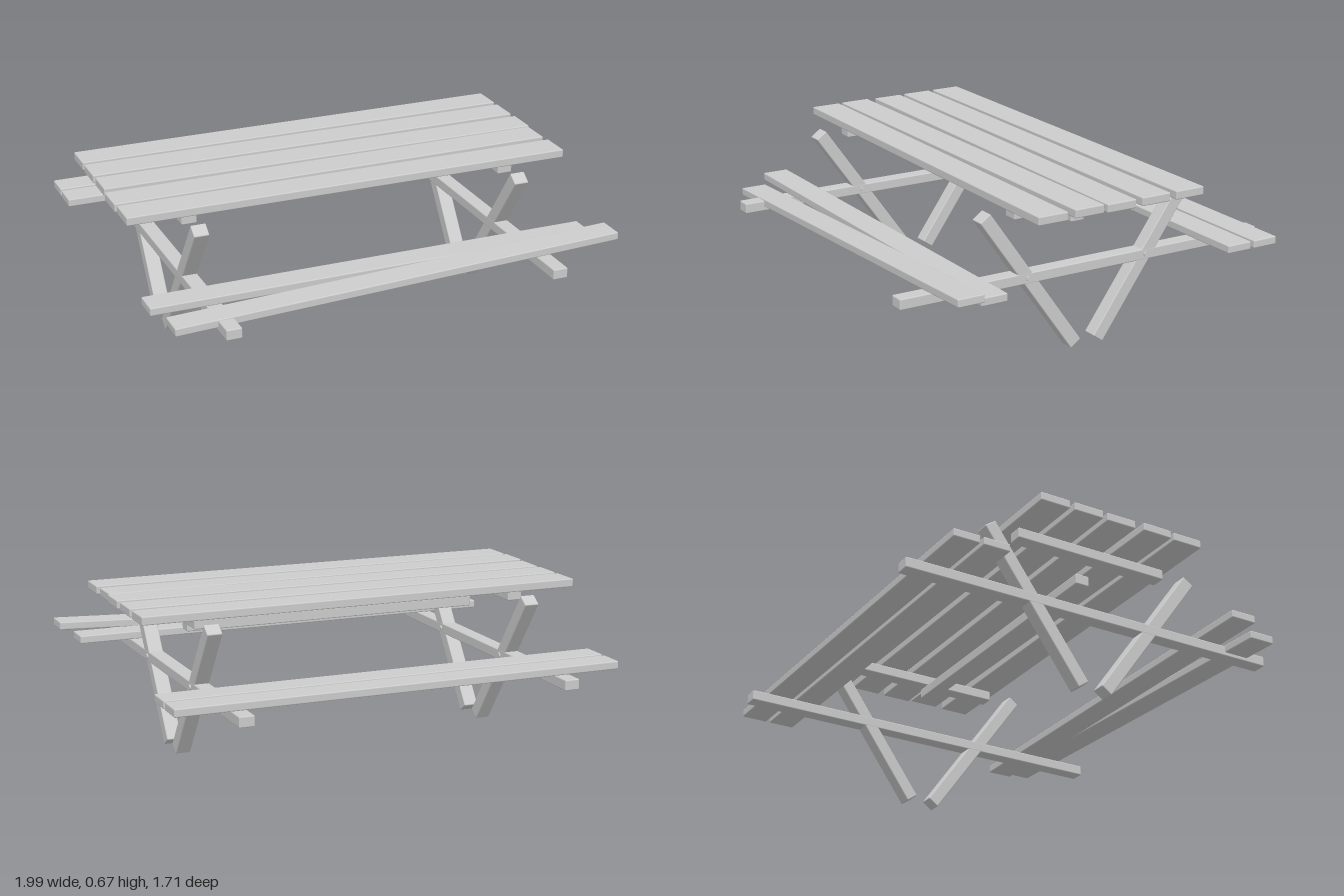
import * as THREE from 'three';
import { RoundedBoxGeometry } from 'three/addons/geometries/RoundedBoxGeometry.js';

const wood = new THREE.MeshStandardMaterial({ color: 0xcccccc });
wood.name = 'weatheredGrey';

// Softly bevelled timber, given by size and centre
function timber(name, size, pos, bevel = 0.005) {
  const mesh = new THREE.Mesh(new RoundedBoxGeometry(...size, 2, bevel), wood);
  mesh.name = name;
  mesh.position.set(...pos);
  return mesh;
}

export function createModel() {
  const model = new THREE.Group();
  model.name = 'picnicTable';

  // Table top: five slightly crooked boards [x, z, yaw]
  const top = new THREE.Group();
  top.name = 'tableTop';
  [
    [-0.025, -0.322, 0.002],
    [-0.025, -0.163, -0.002],
    [-0.023, -0.003, -0.007],
    [-0.032, 0.153, 0.006],
    [-0.027, 0.313, -0.004],
  ].forEach(([x, z, yaw]) => {
    const board = timber('topBoard', [1.93, 0.036, 0.134], [x, 0.656, z]);
    board.rotation.y = yaw;
    top.add(board);
  });
  model.add(top);

  // Bench boards [x, y, z, roll]; the outer front one has come loose and tilts
  const benches = new THREE.Group();
  benches.name = 'benches';
  [
    [-0.025, 0.382, -0.717, 0],
    [-0.025, 0.382, -0.586, 0],
    [-0.025, 0.382, 0.578, 0],
    [0.03, 0.383, 0.712, 0.039],
  ].forEach(([x, y, z, roll]) => {
    const board = timber('benchBoard', [1.93, 0.034, 0.115], [x, y, z]);
    board.rotation.z = roll;
    benches.add(board);
  });
  model.add(benches);

  // End frames: bench beam, top cleat, splayed legs and bolts
  for (const x of [-0.728, 0.678]) {
    const frame = new THREE.Group();
    frame.name = 'endFrame';
    frame.position.x = x;
    frame.add(timber('benchBeam', [0.065, 0.045, 1.71], [0, 0.342, 0.003]));
    frame.add(timber('topCleat', [0.065, 0.045, 0.7], [0, 0.616, 0]));
    for (const side of [1, -1]) {
      const leg = timber('leg', [0.064, 0.738, 0.056], [0, 0.32, side * 0.267]);
      leg.rotation.x = side * Math.atan2(0.427, 0.602);
      frame.add(leg);
      const bolt = new THREE.Mesh(new THREE.CylinderGeometry(0.011, 0.011, 0.07, 16), wood);
      bolt.name = 'bolt';
      bolt.rotation.z = Math.PI / 2;
      bolt.position.set(0.004, 0.342, side * 0.283);
      frame.add(bolt);
    }
    model.add(frame);
  }

  // Long rail between the end frames
  model.add(timber('stretcher', [1.315, 0.046, 0.063], [-0.024, 0.533, 0.002]));

  return model;
}
